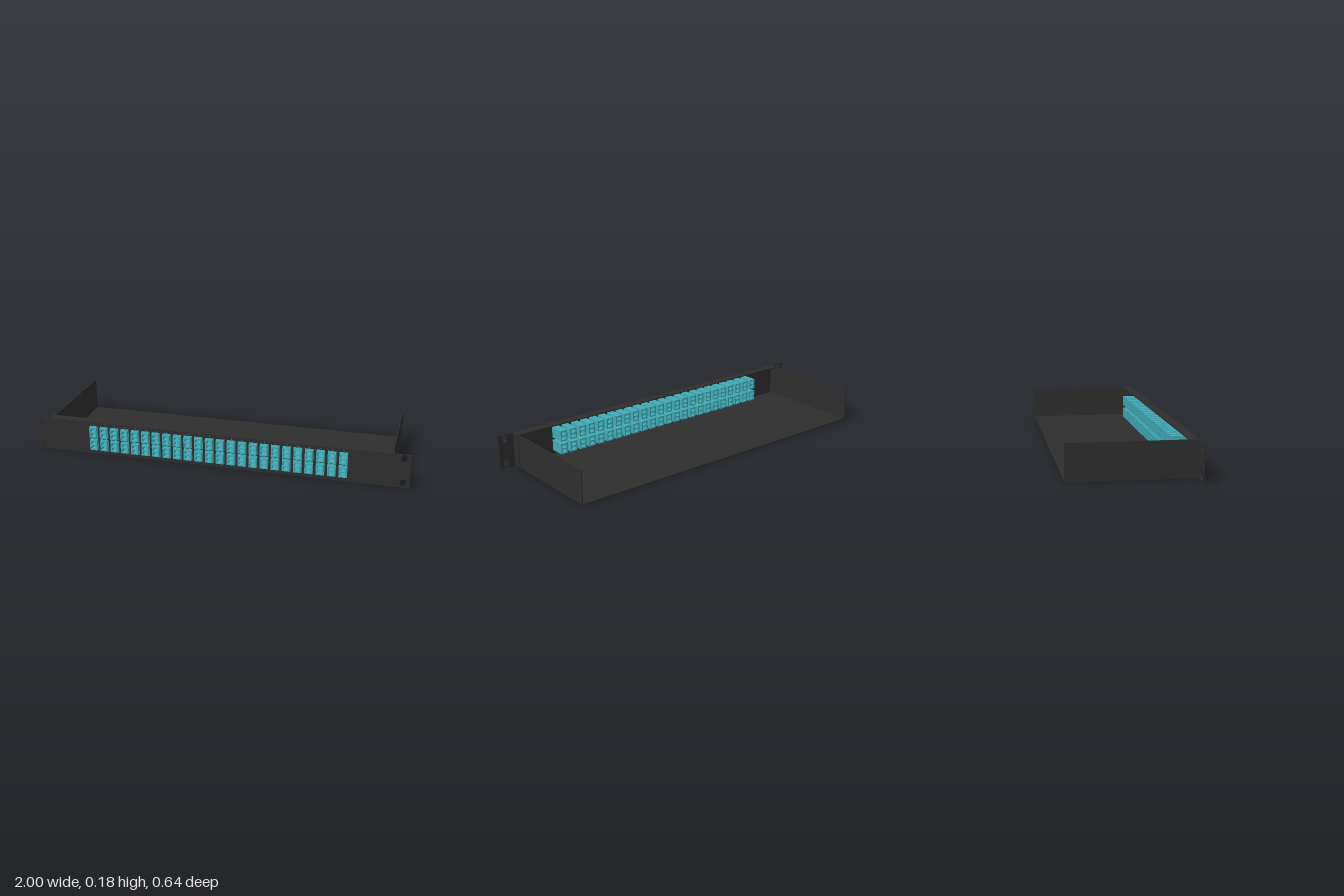
import * as THREE from 'three';
import { mergeGeometries } from 'three/addons/utils/BufferGeometryUtils.js';

const W = 0.91, H = 0.18, T = 0.005;   // tray half width, height, sheet thickness
const BACK = -0.32, FACE = 0.302;      // rear edge and panel front face
const COLUMNS = 24, PITCH = 0.058;
const ROWS = [0.0555, 0.127];          // coupler centre heights
const columnX = i => (i - (COLUMNS - 1) / 2) * PITCH;

// Closed rectangle centred on (x, y)
function rect(x, y, w, h, Type = THREE.Path) {
  const a = w / 2, b = h / 2;
  return new Type([[-a, -b], [a, -b], [a, b], [-a, b]].map(([u, v]) => new THREE.Vector2(x + u, y + v)));
}

// Upright rounded slot
function slot(x, y, w, h) {
  const r = w / 2, s = h / 2 - r, p = new THREE.Path();
  p.absarc(x, y + s, r, 0, Math.PI);
  p.absarc(x, y - s, r, Math.PI, Math.PI * 2);
  p.closePath();
  return p;
}

// Latch-style opening: a wide socket with a narrower keyway on top
function socket(y) {
  return new THREE.Path([[-0.013, -0.009], [0.013, -0.009], [0.013, 0.006], [0.007, 0.006],
    [0.007, 0.0105], [-0.007, 0.0105], [-0.007, 0.006], [-0.013, 0.006]]
    .map(([u, v]) => new THREE.Vector2(u, y + v)));
}

// Plate from z0 to z1 with holes
function plate(shape, holes, z0, z1) {
  shape.holes.push(...holes);
  return new THREE.ExtrudeGeometry(shape, { depth: z1 - z0, bevelEnabled: false, curveSegments: 8 })
    .translate(0, 0, z0);
}

// Duplex coupler: sleeve, inner partition and mounting flange
function couplerGeometry() {
  const cells = [-0.013, 0.012];
  return mergeGeometries([
    plate(rect(0, 0, 0.04, 0.057, THREE.Shape), cells.map(socket), 0.213, 0.32),
    plate(rect(0, 0, 0.039, 0.056, THREE.Shape), cells.map(y => rect(0, y, 0.021, 0.0145)), 0.262, 0.27),
    plate(rect(0, 0, 0.044, 0.065, THREE.Shape), [rect(0, 0, 0.0395, 0.0565)], FACE, 0.307),
  ]);
}

export function createModel() {
  const metal = new THREE.MeshStandardMaterial({ name: 'charcoal metal', color: 0x2e2e2e });
  const teal = new THREE.MeshStandardMaterial({ name: 'teal plastic', color: 0x41acb8 });
  const model = new THREE.Group();
  model.name = 'rackPatchPanel';

  const add = (name, geometry, material, parent = model) => {
    const mesh = new THREE.Mesh(geometry, material);
    mesh.name = name;
    parent.add(mesh);
    return mesh;
  };
  const box = (name, x0, x1, y0, y1, z0, z1) => add(name,
    new THREE.BoxGeometry(x1 - x0, y1 - y0, z1 - z0)
      .translate((x0 + x1) / 2, (y0 + y1) / 2, (z0 + z1) / 2), metal);

  // Tray, open at the top and rear
  const inner = FACE - T;
  box('trayFloor', -W + T, W - T, 0, T, BACK, inner);
  box('topLip', -W + T, W - T, H - T, H, 0.253, inner);
  for (const [side, s] of [['left', 1], ['right', -1]]) {
    const span = (a, b) => s > 0 ? [a, b] : [-b, -a];
    box(side + 'Wall', ...span(W - T, W), 0, H, BACK, inner);
    box(side + 'PanelTab', ...span(W, W + T), 0, H, 0.253, inner);
  }

  // Front panel with rack ears, coupler cutouts and screw holes
  const holes = [];
  for (const x of [-0.965, 0.965])
    for (const y of [0.026, 0.158]) holes.push(slot(x, y, 0.027, 0.041));
  for (let i = 0; i < COLUMNS; i++) {
    for (const y of ROWS) holes.push(rect(columnX(i), y, 0.0395, 0.0565));
    for (const y of [0.0165, 0.0913, 0.1665]) holes.push(slot(columnX(i), y, 0.006, 0.0062));
  }
  add('frontPanel', plate(rect(0, H / 2, 2, H, THREE.Shape), holes, inner, FACE), metal);

  // Two rows of couplers
  const geometry = couplerGeometry();
  const couplers = new THREE.Group();
  couplers.name = 'couplers';
  model.add(couplers);
  ROWS.forEach((y, row) => {
    for (let i = 0; i < COLUMNS; i++)
      add(`${row ? 'upper' : 'lower'}Coupler${i + 1}`, geometry, teal, couplers).position.set(columnX(i), y, 0);
  });
  return model;
}
